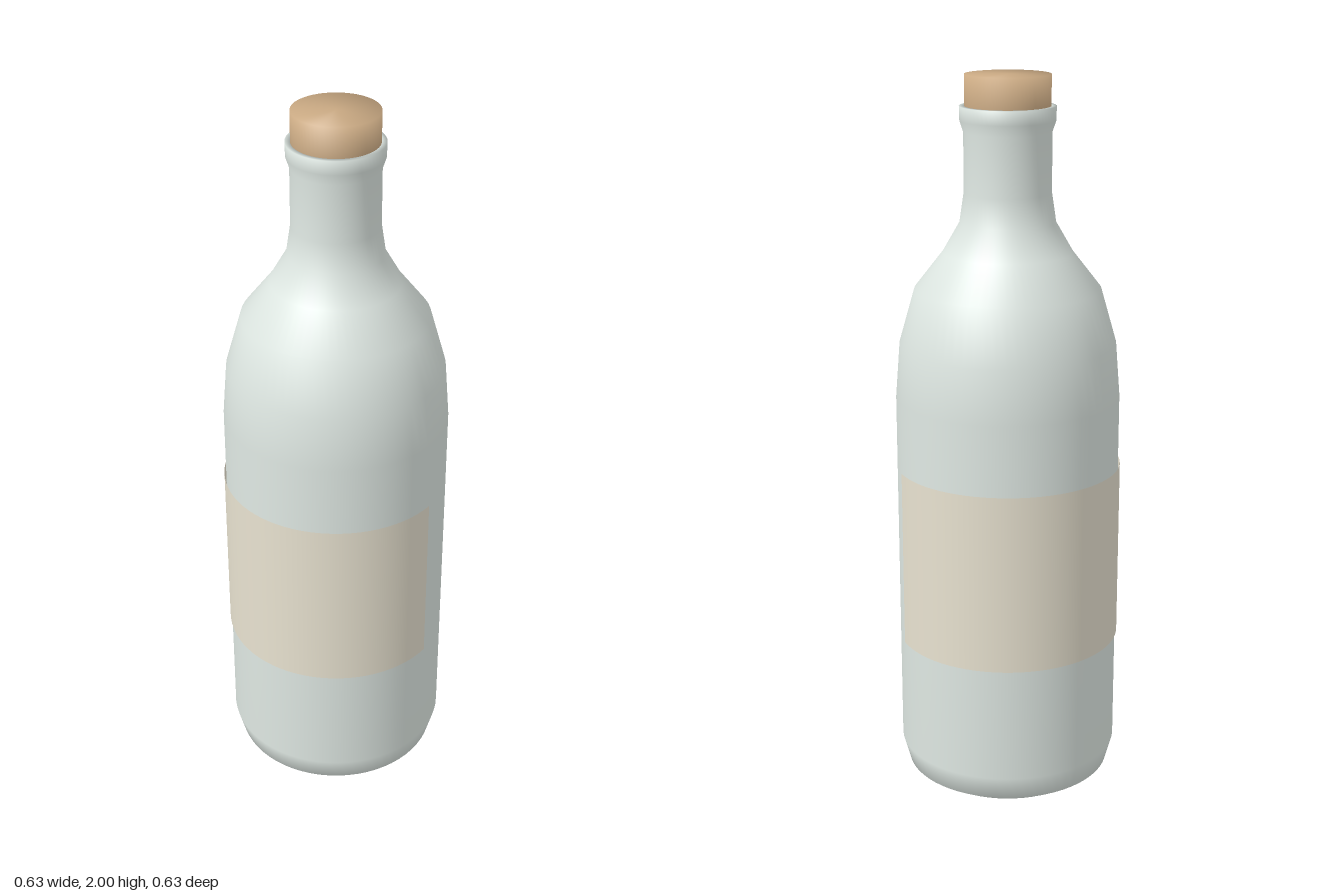
import * as THREE from 'three';

const SEGMENTS = 64;

function part(name, geometry, color, side = THREE.FrontSide) {
  const mesh = new THREE.Mesh(geometry, new THREE.MeshStandardMaterial({ color, side }));
  mesh.name = name;
  return mesh;
}

// Revolves [radius, height] pairs, listed from bottom to top on the outside
function lathe(profile) {
  return new THREE.LatheGeometry(profile.map(([r, y]) => new THREE.Vector2(r, y)), SEGMENTS);
}

export function createModel() {
  const group = new THREE.Group();
  group.name = 'bottle';

  // Glass: flat base, rounded heel, straight body, shoulder, neck and lip
  group.add(part('glassBody', lathe([
    [0, 0.005], [0.25, 0.005], [0.29, 0.03], [0.309, 0.1],
    [0.309, 1.13], [0.297, 1.28], [0.254, 1.43], [0.176, 1.53],
    [0.13, 1.61], [0.118, 1.69], [0.118, 1.85], [0.128, 1.88],
    [0.129, 1.918], [0.115, 1.918], [0.112, 1.88],
  ]), 0xdfe8e3));

  // Cork stopper, pushed into the neck
  group.add(part('cork', lathe([
    [0, 1.8], [0.11, 1.8], [0.115, 1.91], [0.115, 2], [0, 2],
  ]), 0xc8a882));

  // Paper label wrapped 300 degrees round the body, open at the front left
  const label = part('label', new THREE.CylinderGeometry(
    0.314, 0.314, 0.505, SEGMENTS, 1, true, Math.PI / 2, Math.PI * 5 / 3,
  ), 0xe8e2d0, THREE.DoubleSide);
  label.position.y = 0.682;
  group.add(label);

  return group;
}
